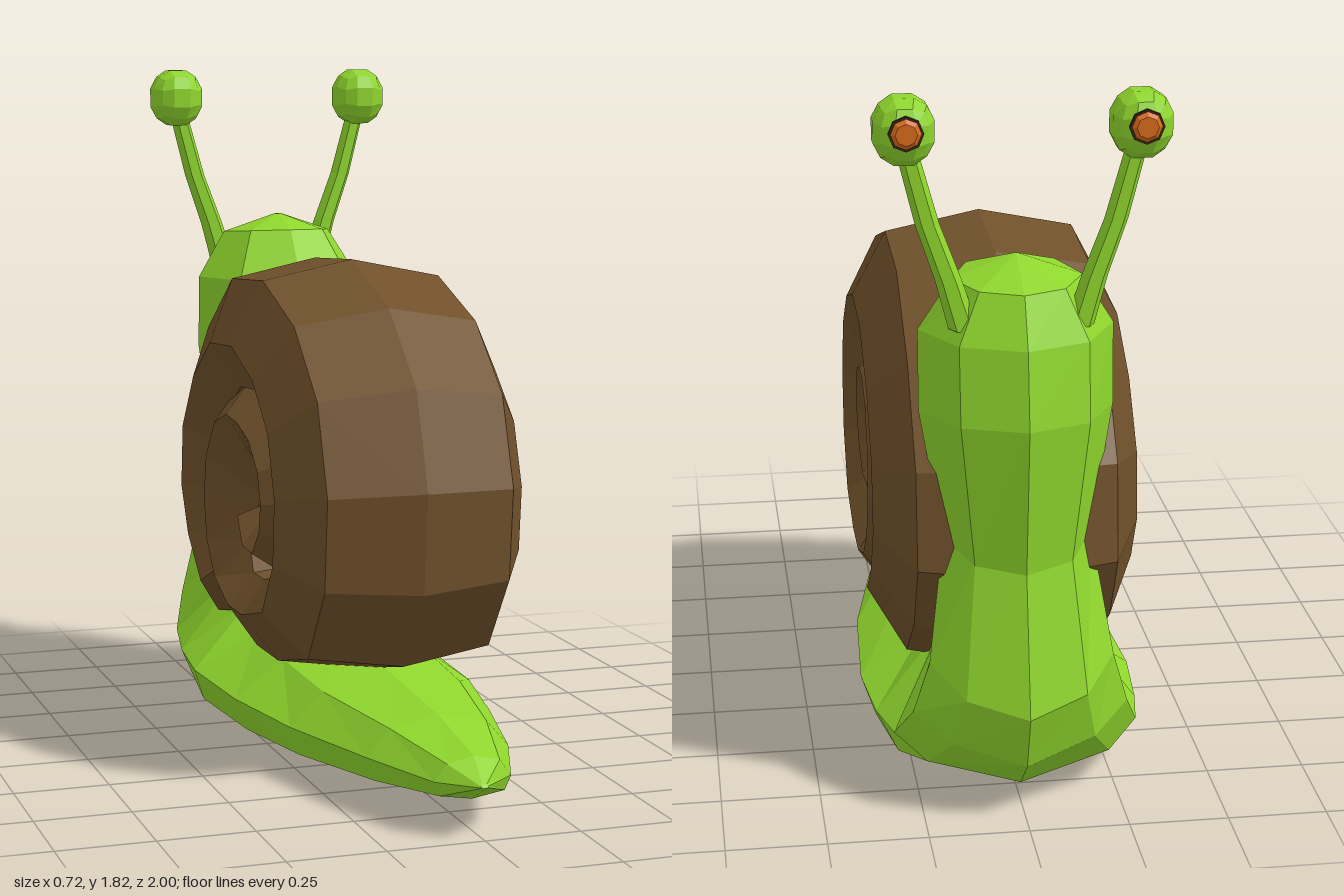
import * as THREE from 'three';

const material = (name, color) => {
  const m = new THREE.MeshStandardMaterial({ color, flatShading: true });
  m.name = name;
  return m;
};

// Joins closed rings of points into a faceted skin with both ends capped.
function loft(rings, flip) {
  const out = [];
  const tri = (a, b, c) => (flip ? [a, c, b] : [a, b, c]).forEach((p) => out.push(...p));
  const n = rings[0].length;
  for (let i = 0; i < rings.length - 1; i++) {
    for (let j = 0; j < n; j++) {
      const k = (j + 1) % n;
      const a = rings[i][j], b = rings[i][k], c = rings[i + 1][j], d = rings[i + 1][k];
      tri(a, c, b);
      tri(b, c, d);
    }
  }
  const first = rings[0], last = rings[rings.length - 1];
  for (let j = 1; j < n - 1; j++) {
    tri(first[0], first[j], first[j + 1]);
    tri(last[0], last[j + 1], last[j]);
  }
  const g = new THREE.BufferGeometry();
  g.setAttribute('position', new THREE.Float32BufferAttribute(out, 3));
  g.computeVertexNormals();
  return g;
}

// Completes a half profile (first and last points on the middle line) by mirroring x.
const mirrorRing = (half) => [
  ...half,
  ...half.slice(1, -1).reverse().map(([x, y, z]) => [-x, y, z]),
];

// Foot, neck and head: sections from tail tip to crown.
// Each: underside/front z, y; top/back z, y; half width; underside roundness;
// position of the widest line; upper fullness.
function bodyGeometry() {
  const sections = [
    [1.0, 0.13, 0.99, 0.14, 0.01, 0.8, 0.47, 0.68],
    [0.91, 0.08, 0.92, 0.19, 0.1, 0.85, 0.47, 0.68],
    [0.67, 0.05, 0.67, 0.23, 0.19, 0.88, 0.47, 0.68],
    [0.3, 0.02, 0.32, 0.25, 0.28, 0.9, 0.47, 0.68],
    [0.0, 0.01, 0.0, 0.27, 0.34, 0.9, 0.47, 0.6],
    [-0.4, 0.0, -0.3, 0.28, 0.36, 0.9, 0.47, 0.52],
    [-0.67, 0.01, -0.42, 0.35, 0.34, 0.85, 0.38, 0.48],
    [-0.84, 0.05, -0.5, 0.45, 0.31, 0.75, 0.28, 0.48],
    [-0.95, 0.15, -0.55, 0.51, 0.27, 0.66, 0.3, 0.55],
    [-1.0, 0.3, -0.58, 0.57, 0.23, 0.65, 0.36, 0.6],
    [-0.92, 0.65, -0.55, 0.74, 0.185, 0.65, 0.45, 0.68],
    [-0.955, 1.03, -0.47, 1.0, 0.24, 0.65, 0.47, 0.68],
    [-0.92, 1.22, -0.48, 1.22, 0.24, 0.65, 0.47, 0.68],
    [-0.86, 1.34, -0.58, 1.36, 0.16, 0.65, 0.47, 0.68],
    [-0.72, 1.4, -0.7, 1.4, 0.01, 0.65, 0.47, 0.68],
  ];
  return loft(sections.map(([z0, y0, z1, y1, w, e, m, u]) => mirrorRing(
    [[0, 0], [e, 0.13], [1, m], [u, 0.86], [0, 1]].map(([x, t]) => [
      x * w, y0 + (y1 - y0) * t, z0 + (z1 - z0) * t,
    ]))), false);
}

// Coiled shell: [angle from straight down, outer radius] from the core to the mouth.
function shellGeometry() {
  const coil = [
    [-410, 0.14], [-365, 0.2], [-325, 0.25], [-290, 0.28], [-265, 0.3], [-240, 0.31],
    [-210, 0.31], [-180, 0.32], [-155, 0.37], [-130, 0.43], [-105, 0.47], [-82, 0.49],
    [-60, 0.5], [-38, 0.49], [-10, 0.47], [17, 0.48], [48, 0.58], [74, 0.61],
    [99, 0.62], [124, 0.63], [150, 0.62], [180, 0.64], [208, 0.7], [234, 0.75],
    [256, 0.82], [275, 0.83], [291, 0.77], [311, 0.68],
  ];
  return loft(coil.map(([deg, radius]) => {
    const a = THREE.MathUtils.degToRad(deg);
    // The first whorl closes in to the axis; the outer one rests against it.
    const open = THREE.MathUtils.clamp((deg + 110) / 90, 0, 1);
    const w = 1 + Math.min(0, deg) / 4000;
    const profile = [
      [0, 1], [0.25, 0.92], [0.34, 0.65], [0.22 + 0.05 * open, 0.46 * open], [0, 0.4 * open],
    ];
    return mirrorRing(profile.map(([x, r]) => [
      x * w, 0.68 - Math.cos(a) * r * radius, -0.02 + Math.sin(a) * r * radius,
    ]));
  }), true);
}

// Low ball with square patches.
function eyeballGeometry() {
  const g = new THREE.BoxGeometry(2, 2, 2, 3, 3, 3);
  const p = g.attributes.position;
  const v = new THREE.Vector3();
  for (let i = 0; i < p.count; i++) {
    v.fromBufferAttribute(p, i).normalize();
    p.setXYZ(i, v.x * 0.079, v.y * 0.088, v.z * 0.082);
  }
  g.computeVertexNormals();
  return g;
}

export function createModel() {
  const green = material('leaf green', 0x8fd62d);
  const brown = material('shell brown', 0x70512b);
  const orange = material('eye orange', 0xd96c1c);
  const dark = material('eye rim', 0x3a2412);

  const model = new THREE.Group();
  model.name = 'snail';
  const add = (parent, name, geometry, mat, x = 0, y = 0, z = 0) => {
    const mesh = new THREE.Mesh(geometry, mat);
    mesh.name = name;
    mesh.position.set(x, y, z);
    parent.add(mesh);
  };

  add(model, 'body', bodyGeometry(), green);
  add(model, 'shell', shellGeometry(), brown);

  // Eye stalks, one per side
  const path = [[0.14, 1.25], [0.175, 1.37], [0.225, 1.51], [0.275, 1.7]];
  const radii = [0.036, 0.032, 0.029, 0.026];
  for (const side of [1, -1]) {
    const eye = new THREE.Group();
    eye.name = side > 0 ? 'leftEyeStalk' : 'rightEyeStalk';
    model.add(eye);

    const rings = path.map(([x, y], i) => Array.from({ length: 6 }, (_, j) => {
      const a = (j / 6) * Math.PI * 2;
      return [side * x + Math.cos(a) * radii[i], y, -0.81 + Math.sin(a) * radii[i]];
    }));
    add(eye, 'stalk', loft(rings, false), green);
    add(eye, 'eyeball', eyeballGeometry(), green, side * 0.28, 1.738, -0.808);

    // Iris set in a dark rim, facing forward
    const rim = new THREE.CylinderGeometry(0.042, 0.042, 0.008, 8).rotateX(-Math.PI / 2);
    add(eye, 'eyeRim', rim, dark, side * 0.28, 1.745, -0.882);
    const iris = new THREE.CylinderGeometry(0.026, 0.037, 0.009, 8).rotateX(-Math.PI / 2);
    add(eye, 'iris', iris, orange, side * 0.28, 1.745, -0.89);
  }
  return model;
}
